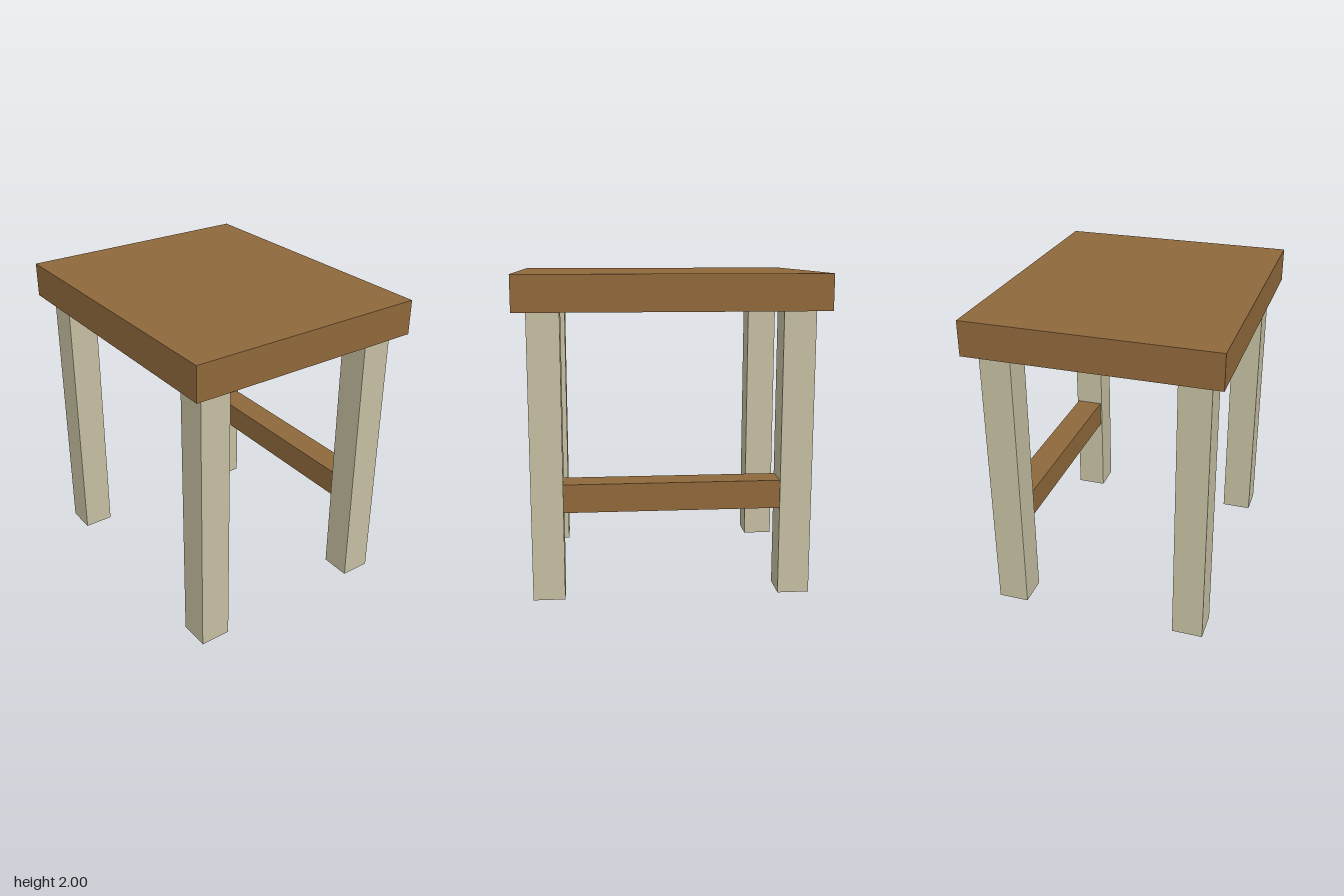
import * as THREE from 'three';

export function createModel() {
  const brownWood = new THREE.MeshStandardMaterial({ color: 0x8f683b });
  brownWood.name = 'brown wood';
  const paleWood = new THREE.MeshStandardMaterial({ color: 0xc4bfa1 });
  paleWood.name = 'pale wood';

  const model = new THREE.Group();
  model.name = 'stool';

  // Adds a box standing on height y
  function addBox(name, material, [w, h, d], [x, y, z]) {
    const mesh = new THREE.Mesh(new THREE.BoxGeometry(w, h, d), material);
    mesh.name = name;
    mesh.position.set(x, y + h / 2, z);
    model.add(mesh);
  }

  const legWidth = 0.197;
  const legHeight = 1.78;
  const legX = 0.767;
  const legZ = 0.6;

  // Thick seat slab
  addBox('seat', brownWood, [1.89, 2 - legHeight, 1.555], [0, legHeight, 0]);

  // Four square legs
  for (const [sideZ, end] of [[1, 'front'], [-1, 'back']]) {
    for (const [sideX, side] of [[1, 'Left'], [-1, 'Right']]) {
      addBox(`${end}${side}Leg`, paleWood, [legWidth, legHeight, legWidth],
        [sideX * legX, 0, sideZ * legZ]);
    }
  }

  // Rail joining the two back legs
  addBox('backRail', brownWood, [2 * legX - legWidth, 0.177, 0.177], [0, 0.555, -legZ]);

  return model;
}
